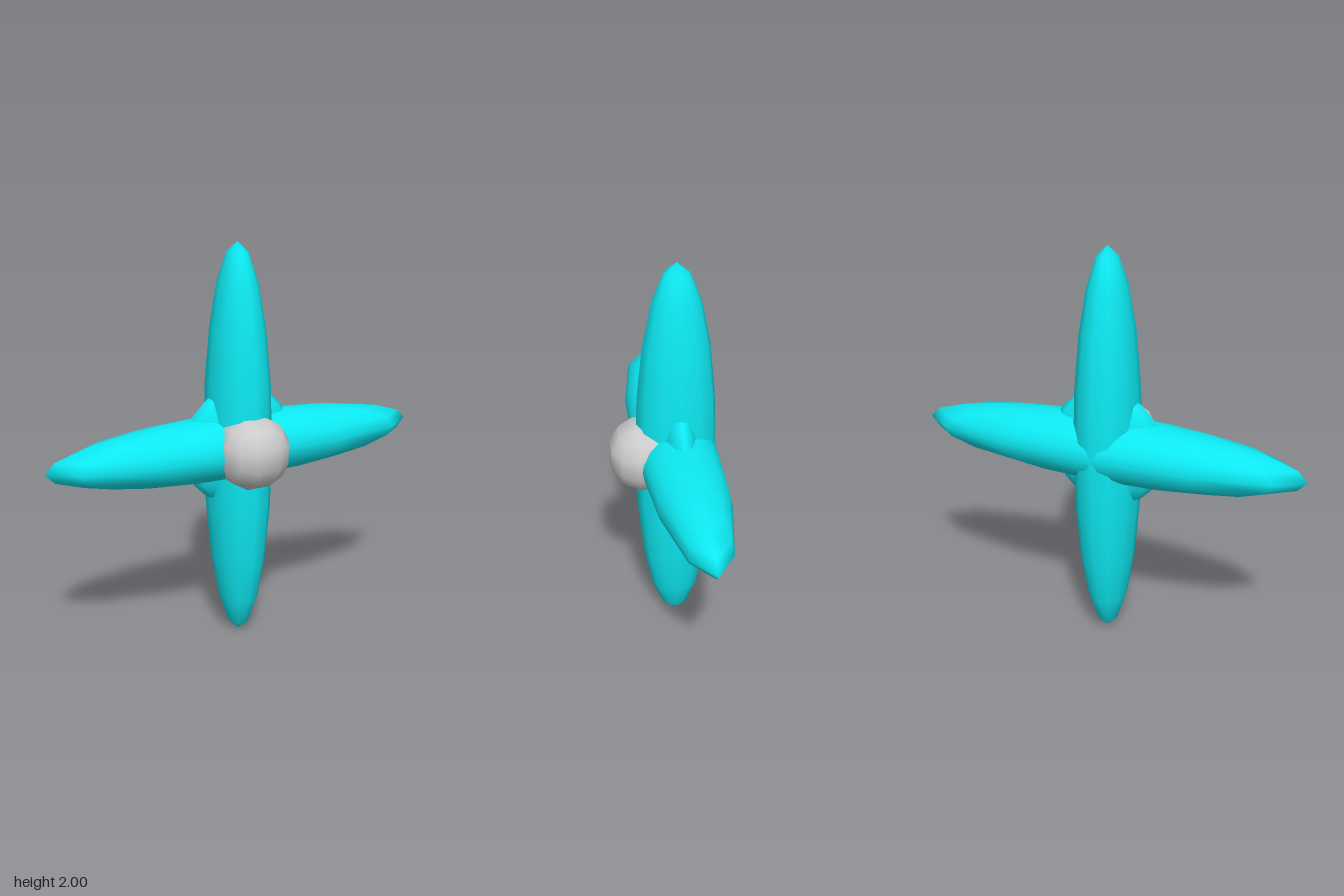
import * as THREE from 'three';

export function createModel() {
  const model = new THREE.Group();
  const cyan = new THREE.MeshStandardMaterial({ color: 0x0de9f2 });
  const grey = new THREE.MeshStandardMaterial({ color: 0xcccccc });

  // One smooth low-poly sphere, stretched into each ellipsoid
  const ball = new THREE.SphereGeometry(1, 12, 10);
  const ellipsoid = (name, rx, ry, rz) => {
    const mesh = new THREE.Mesh(ball, cyan);
    mesh.name = name;
    mesh.scale.set(rx, ry, rz);
    mesh.position.set(0, 1, -0.06);
    model.add(mesh);
  };
  ellipsoid('verticalSpindle', 0.16, 1, 0.2);
  ellipsoid('horizontalSpindle', 1, 0.16, 0.2);
  ellipsoid('centreLens', 0.3, 0.3, 0.1); // shows between the arms

  // Front knob: a cube grid pushed out onto a sphere
  const knobGeometry = new THREE.BoxGeometry(2, 2, 2, 3, 3, 3);
  const position = knobGeometry.attributes.position;
  const normal = knobGeometry.attributes.normal;
  const v = new THREE.Vector3();
  for (let i = 0; i < position.count; i++) {
    v.fromBufferAttribute(position, i).normalize();
    normal.setXYZ(i, v.x, v.y, v.z);
    v.multiplyScalar(0.188);
    position.setXYZ(i, v.x, v.y, v.z);
  }
  const knob = new THREE.Mesh(knobGeometry, grey);
  knob.name = 'frontKnob';
  knob.position.set(0, 1.003, 0.09);
  model.add(knob);

  return model;
}
